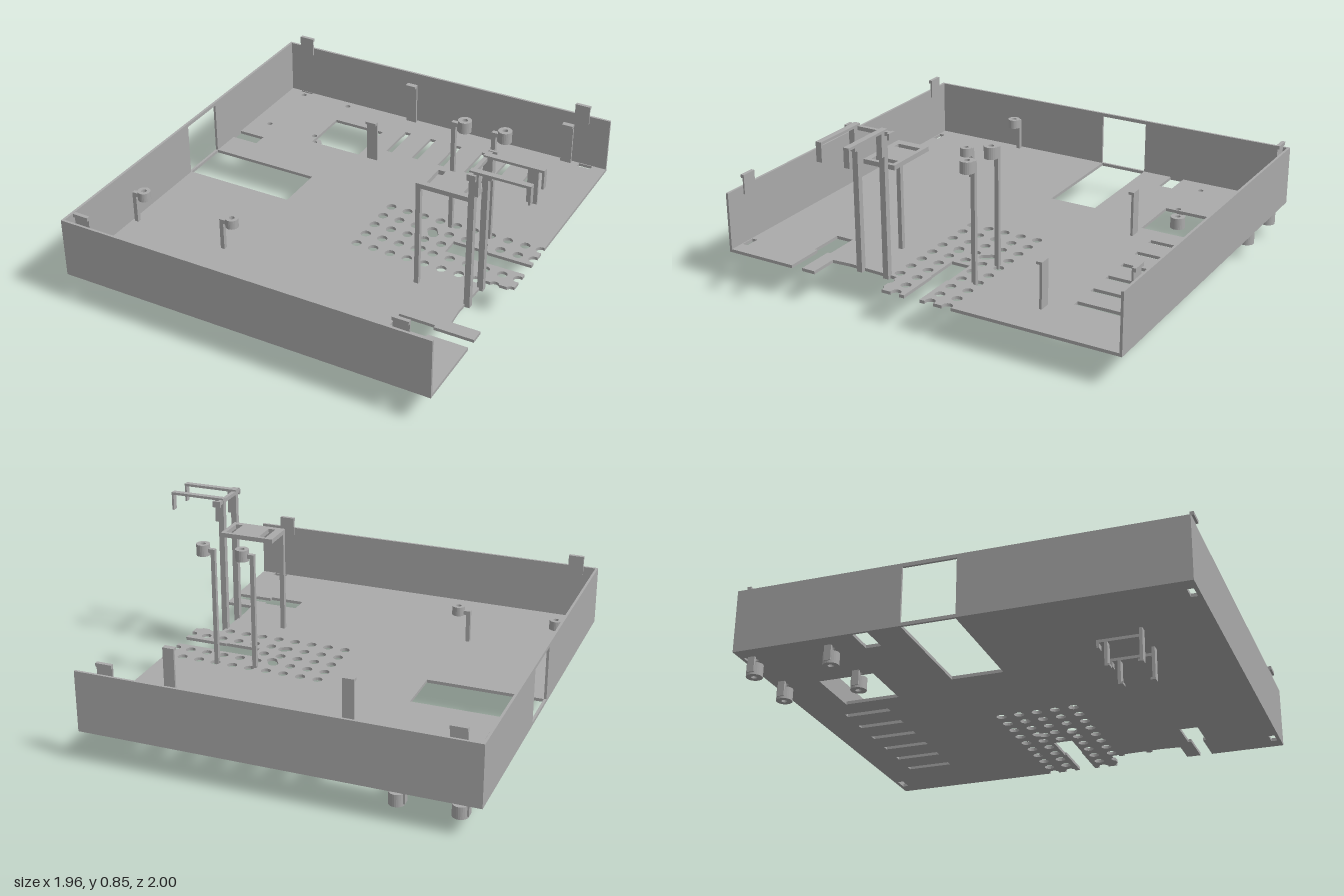
import * as THREE from 'three';

const metal = new THREE.MeshStandardMaterial({ color: 0xaaaaaa });
metal.name = 'grey metal';

const FLOOR = 0.165, BASE = 0.15, TOP = 0.44, WALL = 0.012;

export function createModel() {
  const model = new THREE.Group();
  model.name = 'chassisTray';

  const group = (name, parent = model) => {
    const g = new THREE.Group();
    g.name = name;
    parent.add(g);
    return g;
  };
  const add = (name, geometry, parent = model) => {
    const m = new THREE.Mesh(geometry, metal);
    m.name = name;
    parent.add(m);
    return m;
  };
  // box given by its limits on each axis
  const box = (name, x0, x1, y0, y1, z0, z1, parent) => {
    const m = add(name, new THREE.BoxGeometry(x1 - x0, y1 - y0, z1 - z0), parent);
    m.position.set((x0 + x1) / 2, (y0 + y1) / 2, (z0 + z1) / 2);
    return m;
  };
  // horizontal sheet whose shape is drawn in x and z
  const sheet = (name, shape, top, depth, parent) => {
    const g = new THREE.ExtrudeGeometry(shape, { depth, bevelEnabled: false, curveSegments: 10 });
    g.rotateX(Math.PI / 2);
    g.translate(0, top, 0);
    return add(name, g, parent);
  };
  const polygon = (...p) => new THREE.Path(p.map(([x, z]) => new THREE.Vector2(x, z)));
  const rect = (x0, x1, z0, z1) => polygon([x0, z0], [x1, z0], [x1, z1], [x0, z1], [x0, z0]);
  const circle = (x, z, r) => new THREE.Path().absarc(x, z, r, 0, Math.PI * 2);
  // two overlapping round holes merged into one
  const doubleHole = (x0, z0, x1, z1, r) => {
    const a = Math.atan2(z1 - z0, x1 - x0), q = Math.PI / 2;
    return new THREE.Path().absarc(x1, z1, r, a - q, a + q).absarc(x0, z0, r, a + q, a + 3 * q).closePath();
  };

  // Floor outline with the open right-hand edge
  const R = 0.024, EDGE = 0.85, bite = Math.acos(0.01 / R), dip = Math.asin(0.01 / R);
  const floor = new THREE.Shape();
  floor.moveTo(-0.98, -1);
  floor.lineTo(EDGE, -1);
  for (const z of [-0.172, -0.085]) floor.absarc(0.84, z, R, -bite, bite, true);
  [[EDGE, -0.038], [0.63, -0.038], [0.63, -0.046], [0.455, -0.046],
    [0.455, 0.046], [0.63, 0.046], [0.63, 0.042], [EDGE, 0.042]].forEach(p => floor.lineTo(...p));
  floor.absarc(0.84, 0.09, R, -bite, bite, true);
  floor.absarc(0.84, 0.18, R, -bite, -Math.PI + dip, true);
  floor.absarc(0.76, 0.18, R, -dip, -Math.PI + dip, true);
  [[0.715, 0.17], [0.705, 0.43], [0.712, 0.52], [EDGE, 0.52], [EDGE, 0.587], [0.66, 0.587],
    [0.66, 0.572], [0.487, 0.572], [0.487, 0.66], [0.66, 0.66], [0.66, 0.645], [EDGE, 0.645],
    [EDGE, 1], [-0.98, 1]].forEach(p => floor.lineTo(...p));
  floor.closePath();

  // Floor cut-outs
  floor.holes.push(
    rect(-0.585, -0.31, -0.79, -0.53),
    rect(-0.968, -0.83, -0.45, -0.38),
    rect(-0.968, -0.412, -0.23, 0.012),
    rect(0.71, 0.78, -0.983, -0.955),
    rect(-0.91, -0.84, -0.985, -0.975),
    rect(0.71, 0.78, 0.955, 0.983),
    rect(-0.91, -0.84, 0.955, 0.983),
    doubleHole(0.325, -0.085, 0.345, -0.054, R),
    doubleHole(0.325, 0.09, 0.345, 0.08, R));
  for (let i = 0; i < 6; i++) {
    const x = -0.188 + i * 0.146;
    floor.holes.push(rect(x - 0.016, x + 0.016, -0.847, -0.63));
  }
  // Ventilation grid
  [-0.172, -0.085, 0.002, 0.09, 0.18].forEach((z, row) => {
    for (let i = 0; i < 9; i++) {
      const x = 0.063 + i * 0.0873;
      if (row === 2 && i > 4) continue;
      if ((row === 1 || row === 3) && i === 3) continue;
      if (row === 4 && i > 7 - 1 + 1 - 0) continue;
      floor.holes.push(circle(x, z, R));
    }
  });
  const standoffs = [];
  for (const x of [-0.875, -0.603]) for (const z of [-0.947, -0.587]) standoffs.push([x, z]);
  standoffs.forEach(([x, z]) => floor.holes.push(circle(x, z, 0.014)));
  sheet('floor', floor, FLOOR, FLOOR - BASE);

  // Walls; the side wall has a cable opening under a thin top strip
  box('frontWall', -0.98, EDGE, BASE, TOP, 1 - WALL, 1);
  box('backWall', -0.98, EDGE, BASE, TOP, -1, -1 + WALL);
  box('sideWallFront', -0.98, -0.968, BASE, TOP, 0.015, 1);
  box('sideWallBack', -0.98, -0.968, BASE, TOP, -1, -0.23);
  box('sideWallStrip', -0.98, -0.968, 0.423, TOP, -0.23, 0.015);

  // Lid tabs on the front and back walls
  for (const s of [1, -1]) for (const x of [-0.87, 0.705]) {
    const tab = group('lidTab');
    const zBox = (name, y0, y1, a, b) =>
      box(name, x - 0.038, x + 0.038, y0, y1, Math.min(s * a, s * b), Math.max(s * a, s * b), tab);
    zBox('tabPlate', 0.4, 0.495, 0.98, 0.988);
    zBox('tabLip', 0.478, 0.495, 0.988, 0.998);
  }

  // Hollow screw barrel centred on a point
  const barrel = (x, y0, y1, z, r, parent) => {
    const pts = [[0.013, y0], [r, y0], [r, y1], [0.013, y1], [0.013, y0]];
    const m = add('barrel', new THREE.LatheGeometry(pts.map(p => new THREE.Vector2(...p)), 24)
      .toNonIndexed(), parent);
    m.geometry.computeVertexNormals();
    m.position.set(x, 0, z);
  };

  // Standoffs hanging under the floor
  standoffs.forEach(([x, z]) => {
    const g = group('lowerStandoff');
    barrel(x, 0.07, 0.127, z, 0.036, g);
    box('standoffArm', x - 0.04, x - 0.026, 0.08, BASE, z - 0.016, z + 0.016, g);
  });

  // Raised standoffs on bent posts
  for (const [x, z, top, r] of [[-0.893, 0.503, 0.345, 0.031], [-0.408, 0.503, 0.345, 0.031],
    [0.44, -0.153, 0.755, 0.032], [0.638, -0.153, 0.755, 0.032]]) {
    const g = group('raisedStandoff');
    barrel(x, top - (top > 0.5 ? 0.055 : 0.045), top, z, r, g);
    box('post', x - 0.062, x - 0.042, BASE, top - 0.02, z - 0.01, z + 0.01, g);
    box('postArm', x - 0.062, x - 0.026, top - 0.04, top - 0.02, z - 0.01, z + 0.01, g);
  }

  // Upright retaining clips
  for (const x of [-0.23, 0.643]) for (const z of [-0.968, -0.528]) {
    const g = group('retainingClip');
    box('clipPlate', x - 0.028, x + 0.028, BASE, 0.383, z - 0.007, z + 0.005, g);
    box('clipHook', x - 0.028, x + 0.028, 0.37, 0.383, z + 0.005, z + 0.021, g);
  }

  // Hooked brackets under the floor
  for (const x of [-0.628, -0.433]) {
    const g = group('underBracket');
    const part = (name, ...yz) => box(name, x - 0.018, x + 0.018, ...yz, g);
    part('longLeg', 0, BASE, 0.688, 0.702);
    part('bridge', 0.108, 0.121, 0.505, 0.688);
    part('shortLeg', 0, 0.108, 0.538, 0.552);
    part('hook', 0.085, 0.108, 0.505, 0.516);
    part('footLip', 0, 0.01, 0.68, 0.688);
    part('footLip', 0, 0.01, 0.552, 0.56);
  }

  // Tall stand: slotted shelf, leg, two masts, crossbar and hooked arms
  const stand = group('tallStand');
  const shelf = new THREE.Shape(polygon([0.435, 0.172], [0.705, 0.172], [0.705, 0.333], [0.435, 0.333]).getPoints());
  shelf.holes.push(rect(0.475, 0.51, 0.19, 0.305), rect(0.65, 0.685, 0.19, 0.305));
  sheet('shelf', shelf, 0.688, 0.022, stand);
  box('shelfLeg', 0.437, 0.459, BASE, 0.67, 0.312, 0.333, stand);
  for (const z of [0.219, 0.36]) {
    const z0 = z - 0.014, z1 = z + 0.014;
    box('mast', 0.702, 0.73, BASE, 0.85, z0, z1, stand);
    box('mastBlock', 0.73, 0.746, 0.73, 0.84, z0, z1, stand);
    box('arm', 0.73, 0.98, 0.838, 0.85, z0, z1, stand);
    box('armHook', 0.97, 0.98, 0.76, 0.838, z0, z1, stand);
  }
  box('crossbar', 0.704, 0.722, 0.824, 0.842, 0.17, 0.4, stand);
  for (const z of [0.174, 0.394]) box('crossbarEnd', 0.702, 0.742, 0.815, 0.845, z - 0.006, z + 0.006, stand);

  return model;
}
